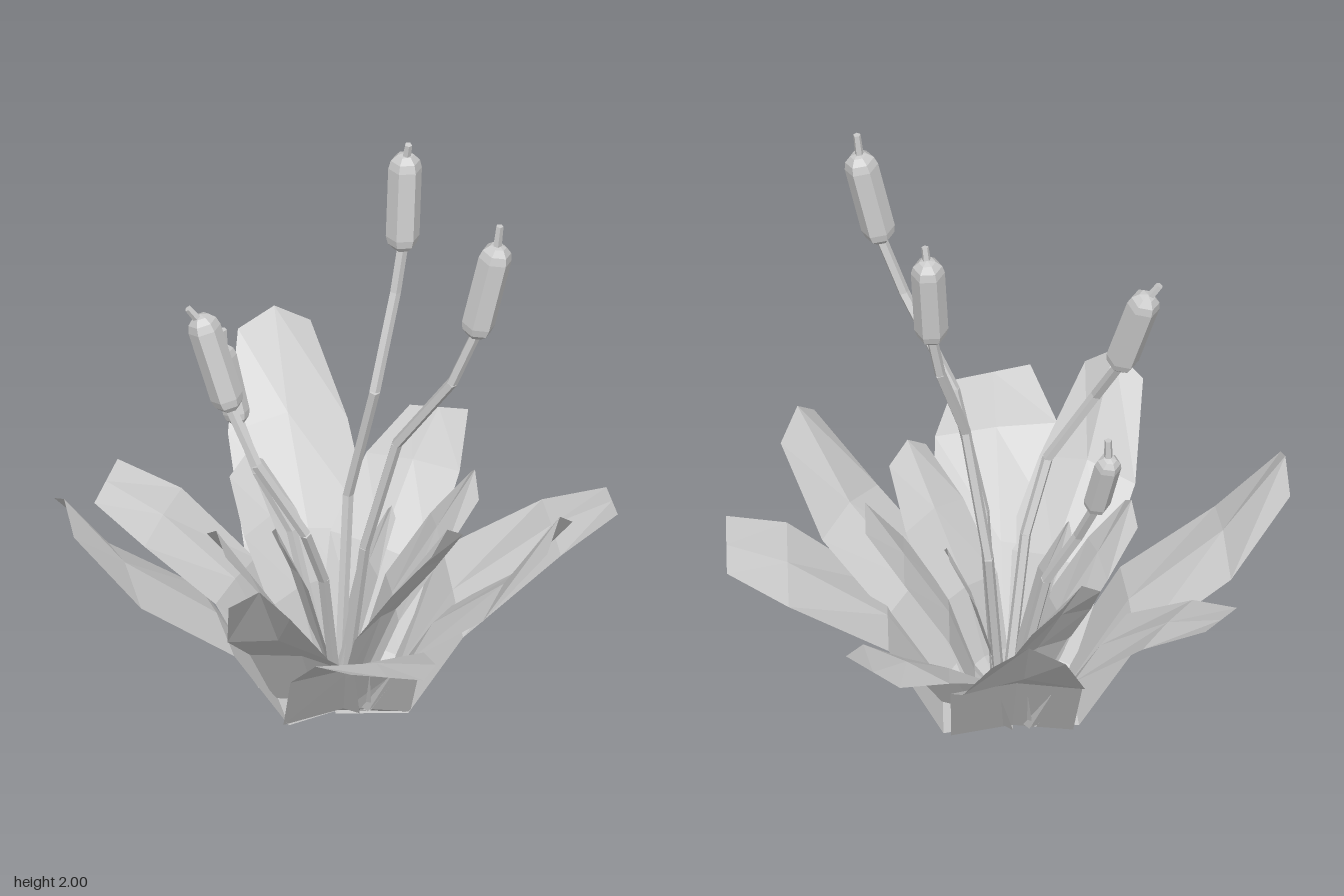
import * as THREE from 'three';

const leafMat = new THREE.MeshStandardMaterial({ color: 0xcccccc, flatShading: true, side: THREE.DoubleSide });
const solidMat = new THREE.MeshStandardMaterial({ color: 0xcccccc, flatShading: true });
const V = (a) => new THREE.Vector3(...a);

// Leaf blade growing along +x. Each row: [reach, height, half width, ridge lift, side tilt]
function leafGeometry(rows) {
  const pos = [];
  const idx = [];
  rows.forEach(([r, y, w, lift = 0, tilt = 0], i) => {
    pos.push(r, y - tilt, -w, r, y + lift, 0, r, y + tilt, w);
    if (i === 0) return;
    for (let k = 0; k < 2; k++) {
      const a = (i - 1) * 3 + k;
      const b = i * 3 + k;
      idx.push(a, a + 1, b, a + 1, b + 1, b);
    }
  });
  const g = new THREE.BufferGeometry();
  g.setAttribute('position', new THREE.Float32BufferAttribute(pos, 3));
  g.setIndex(idx);
  g.computeVertexNormals();
  return g;
}

// Leaf shapes, from the root outwards
const shapes = {
  largeSpreading: [[0, 0, 0.02], [0.2, 0.1, 0.2, 0.04], [0.37, 0.4, 0.21, 0.01, -0.03],
    [0.68, 0.61, 0.19, 0.01, 0.02], [0.87, 0.69, 0.115, 0, 0.025]],
  largeUpright: [[0, 0.01, 0.02], [0.2, 0.1, 0.19, 0.03], [0.38, 0.4, 0.205, 0.03],
    [0.675, 0.62, 0.19, 0.05], [0.87, 0.87, 0.115, 0.07]],
  mediumUpright: [[0, 0.03, 0.02], [0.18, 0.13, 0.14, 0.02], [0.33, 0.38, 0.17, 0.03],
    [0.57, 0.58, 0.165, 0.04], [0.76, 0.84, 0.1, 0.08]],
  mediumSpreading: [[0, 0.03, 0.02], [0.18, 0.13, 0.14, 0.02], [0.33, 0.4, 0.17, 0.01, -0.02],
    [0.57, 0.58, 0.16, 0.01, 0.01], [0.76, 0.67, 0.1, 0, 0.02]],
  inner: [[0.02, 0.08, 0.02], [0.1, 0.17, 0.1, 0.02], [0.18, 0.4, 0.135, 0.02],
    [0.32, 0.62, 0.125, 0.03], [0.44, 0.79, 0.08, 0.06]],
  small: [[0, 0.1, 0.02], [0.06, 0.3, 0.06, 0.02], [0.12, 0.52, 0.07, 0.02], [0.2, 0.7, 0.03, 0.03]],
};

// Leaf placements: shape, x and z of the tip direction, size
const leaves = [
  ['largeSpreading', 0.87, 0, 1], ['largeSpreading', 0.03, 0.87, 1],
  ['largeUpright', -0.055, -0.87, 1], ['largeUpright', -0.86, 0.1, 1],
  ['mediumUpright', 0.645, 0.405, 1], ['mediumUpright', -0.34, 0.675, 1],
  ['mediumSpreading', 0.425, -0.63, 1], ['mediumSpreading', -0.65, -0.375, 1],
  ['inner', 0.44, 0, 1], ['inner', 0.31, 0.325, 1],
  ['inner', -0.42, 0.11, 0.91], ['inner', -0.21, -0.3, 0.9],
  ['small', 0.22, -0.06, 0.97], ['small', -0.22, 0.06, 1],
];

// Straight tapered piece between two points
function rod(name, a, b, r0, r1, sides) {
  const dir = b.clone().sub(a);
  const mesh = new THREE.Mesh(new THREE.CylinderGeometry(r1, r0, dir.length(), sides), solidMat);
  mesh.position.copy(a).add(b).multiplyScalar(0.5);
  mesh.quaternion.setFromUnitVectors(new THREE.Vector3(0, 1, 0), dir.normalize());
  mesh.name = name;
  return mesh;
}

// Bent stems: path up to the head, then head top, tip and head radius
const reeds = [
  { path: [[0.03, 0.1, 0.02], [0.07, 0.7, 0.15], [0.16, 1.12, 0.22], [0.315, 1.41, 0.34], [0.385, 1.6, 0.365]],
    top: [0.455, 1.92, 0.37], tip: [0.46, 2, 0.372], radius: 0.053 },
  { path: [[0.02, 0.1, -0.03], [0.06, 0.72, -0.12], [0.13, 1.15, -0.035], [0.21, 1.45, -0.13], [0.235, 1.6, -0.15]],
    top: [0.25, 1.92, -0.18], tip: [0.257, 1.97, -0.165], radius: 0.053 },
  { path: [[0, 0.1, 0.02], [-0.06, 0.6, 0.16], [-0.13, 0.83, 0.245], [-0.28, 1.09, 0.225], [-0.35, 1.26, 0.15]],
    top: [-0.435, 1.57, 0.095], tip: [-0.475, 1.61, 0.1], radius: 0.052 },
  { path: [[-0.02, 0.1, -0.02], [-0.12, 0.62, -0.1], [-0.22, 0.82, -0.14], [-0.27, 0.97, -0.2]],
    top: [-0.315, 1.21, -0.265], tip: [-0.31, 1.28, -0.257], radius: 0.042 },
];

function makeReed({ path, top, tip, radius }) {
  const reed = new THREE.Group();
  reed.name = 'reed';
  const pts = path.map(V);
  for (let i = 1; i < pts.length; i++) {
    reed.add(rod('stem', pts[i - 1], pts[i], 0.018, 0.018, 5));
  }
  // Six-sided rounded seed head
  const a = pts[pts.length - 1];
  const b = V(top);
  const dir = b.clone().sub(a);
  const len = dir.length();
  const head = new THREE.Mesh(new THREE.CapsuleGeometry(radius, len - radius * 1.6, 3, 6), solidMat);
  head.position.copy(a).add(b).multiplyScalar(0.5);
  head.quaternion.setFromUnitVectors(new THREE.Vector3(0, 1, 0), dir.normalize());
  head.name = 'seedHead';
  // Short spike on top of the head
  reed.add(head, rod('headTip', b.clone().addScaledVector(dir, -0.03), V(tip), 0.015, 0.012, 5));
  return reed;
}

export function createModel() {
  const model = new THREE.Group();
  model.name = 'plant';

  // Leaf rosette
  for (const [shape, x, z, size] of leaves) {
    const leaf = new THREE.Mesh(leafGeometry(shapes[shape]), leafMat);
    leaf.name = `${shape}Leaf`;
    leaf.rotation.y = -Math.atan2(z, x);
    leaf.scale.setScalar(size);
    model.add(leaf);
  }

  // Pairs of thin shoots against the outside of the large leaves
  for (let i = 0; i < 4; i++) {
    const shoots = new THREE.Group();
    shoots.name = 'shoots';
    shoots.add(rod('shoot', V([0.24, 0.16, -0.06]), V([0.34, 0.35, -0.13]), 0.014, 0.001, 3));
    shoots.add(rod('shoot', V([0.24, 0.16, -0.07]), V([0.32, 0.33, -0.06]), 0.012, 0.001, 3));
    shoots.rotation.y = (i * Math.PI) / 2;
    model.add(shoots);
  }

  // Reeds
  for (const r of reeds) model.add(makeReed(r));
  return model;
}
